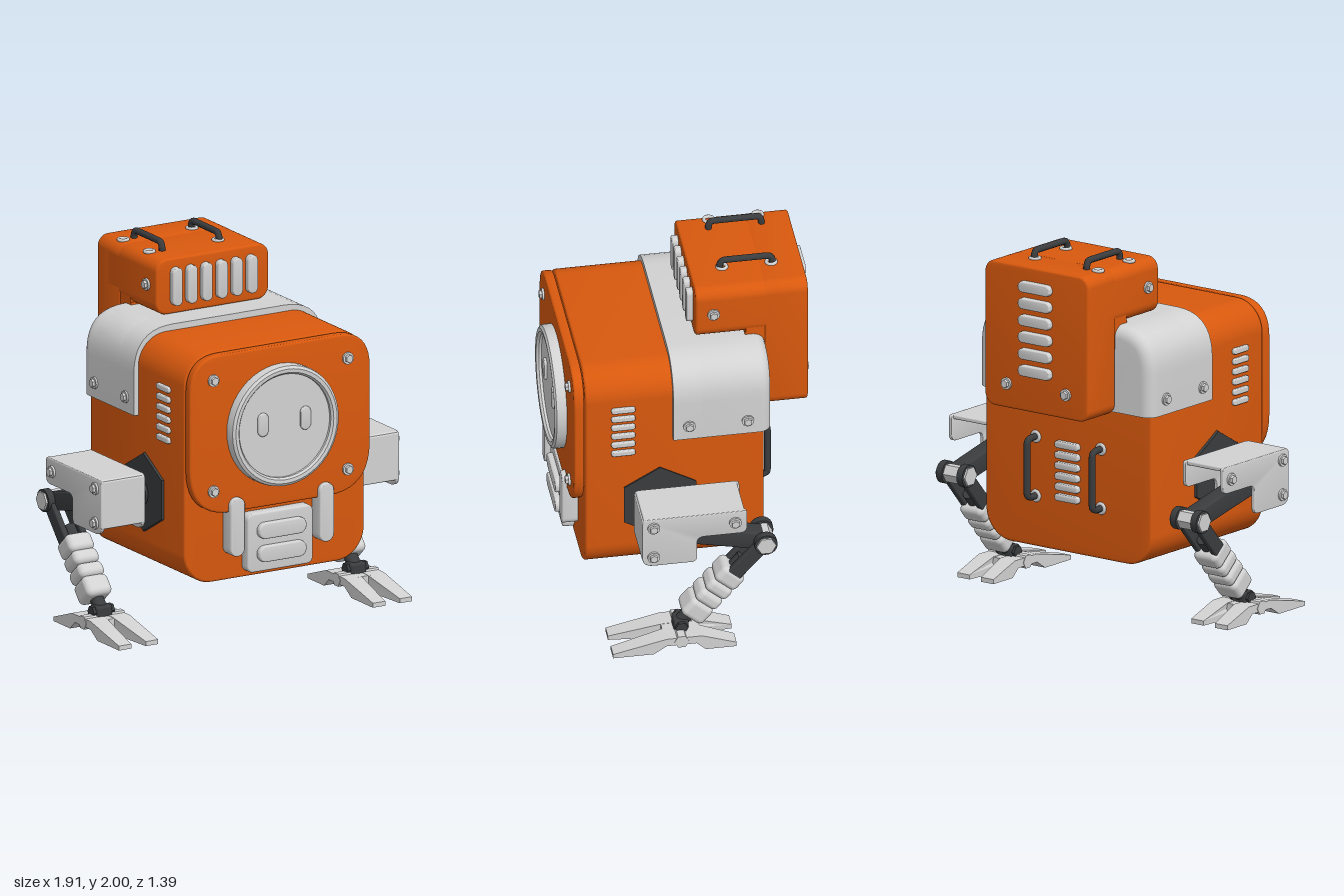
import * as THREE from 'three';
import { toCreasedNormals } from 'three/addons/utils/BufferGeometryUtils.js';
import { RoundedBoxGeometry } from 'three/addons/geometries/RoundedBoxGeometry.js';

const mat = (name, color) => new THREE.MeshStandardMaterial({ name, color });

// rounded rectangle centred on the origin
function rect(w, h, r) {
  const s = new THREE.Shape(), a = w / 2 - r, b = h / 2 - r, q = Math.PI / 2;
  s.absarc(a, b, r, 0, q);
  s.absarc(-a, b, r, q, 2 * q);
  s.absarc(-a, -b, r, 2 * q, 3 * q);
  s.absarc(a, -b, r, 3 * q, 4 * q);
  s.closePath();
  return s;
}

// polygon of [x, y, cornerRadius]
function poly(pts) {
  const s = new THREE.Shape(), n = pts.length;
  pts.forEach(([x, y, r = 0], i) => {
    const toward = (p) => {
      const l = Math.hypot(p[0] - x, p[1] - y);
      return [x + (p[0] - x) * r / l, y + (p[1] - y) * r / l];
    };
    const a = toward(pts[(i + n - 1) % n]), b = toward(pts[(i + 1) % n]);
    if (i) s.lineTo(...a); else s.moveTo(...a);
    if (r) s.quadraticCurveTo(x, y, ...b);
  });
  s.closePath();
  return s;
}

// extrusion from z = 0 to z = depth, bevel kept inside the outline
function extrude(shape, depth, bevel = 0, segs = 3) {
  const g = new THREE.ExtrudeGeometry(shape, {
    depth: depth - 2 * bevel, bevelEnabled: bevel > 0, bevelSize: bevel, bevelThickness: bevel,
    bevelOffset: -bevel, bevelSegments: segs, curveSegments: 10,
  });
  return toCreasedNormals(g.translate(0, 0, bevel), 0.6);
}

// side profile in (z, y) extruded across x, centred
const across = (shape, width, bevel = 0) =>
  extrude(shape, width, bevel).translate(0, 0, -width / 2).rotateY(-Math.PI / 2);

export function createModel() {
  const orange = mat('orange paint', 0xd9590e);
  const grey = mat('light grey metal', 0xd2d2d2);
  const dark = mat('dark rubber', 0x3a3c3e);
  const model = new THREE.Group();
  const robot = new THREE.Group();
  robot.name = 'robot';
  robot.position.x = -0.013;
  model.add(robot);

  const add = (name, geo, material, pos = [0, 0, 0], turn = 0, parent = robot) => {
    const m = new THREE.Mesh(geo, material);
    m.name = name;
    m.position.set(...pos);
    m.rotation.y = turn;
    parent.add(m);
    return m;
  };
  const SIDE = Math.PI / 2, BACK = Math.PI;

  // shared hardware, facing +z
  const pill = (w, h, d) => extrude(rect(w, h, Math.min(w, h) / 2 - 0.001), d, 0.008);
  const hexWasher = new THREE.CylinderGeometry(0.033, 0.033, 0.012, 16).rotateX(SIDE).translate(0, 0, 0.006);
  const hexHead = toCreasedNormals(new THREE.CylinderGeometry(0.022, 0.025, 0.026, 6), 0.5).rotateX(SIDE).translate(0, 0, 0.013);
  const bolt = (pos, turn = 0, parent = robot) => {
    add('boltWasher', hexWasher, grey, pos, turn, parent);
    add('boltHead', hexHead, grey, pos, turn, parent);
  };

  // body and front plate
  add('body', extrude(rect(1.12, 1.27, 0.17), 0.96, 0.012), orange, [0, 0.957, -0.39]);
  add('frontPlate', extrude(poly([[-0.56, 1.59, 0.2], [0.56, 1.59, 0.2], [0.56, 0.71, 0.26], [-0.56, 0.71, 0.26]]), 0.055, 0.01),
    orange, [0, 0, 0.575]);
  for (const x of [-0.418, 0.418]) for (const y of [0.842, 1.455]) bolt([x, y, 0.63], 0);

  // round face with rim and eyes
  const rim = [[0.285, 0], [0.285, 0.05], [0.295, 0.063], [0.315, 0.065], [0.33, 0.055], [0.333, 0.04], [0.333, 0]];
  add('faceRim', toCreasedNormals(new THREE.LatheGeometry(rim.map((p) => new THREE.Vector2(...p)).reverse(), 48), 0.6)
    .rotateX(SIDE), grey, [0, 1.155, 0.629]).material.side = THREE.DoubleSide;
  add('faceDisc', new THREE.CylinderGeometry(0.3, 0.3, 0.04, 48).rotateX(SIDE), grey, [0, 1.155, 0.645]);
  for (const s of [-1, 1]) add('eye', pill(0.062, 0.13, 0.02), grey, [s * 0.132, 1.177, 0.66]);

  // chest panel and bars
  add('chestPanel', extrude(rect(0.407, 0.325, 0.035), 0.07, 0.01), grey, [0, 0.518, 0.562]);
  for (const y of [0.455, 0.583]) add('chestSlat', pill(0.295, 0.088, 0.04), grey, [0, y, 0.622]);
  for (const s of [-1, 1]) add('chestBar', pill(0.09, 0.325, 0.09), grey, [s * 0.277, 0.628, 0.565]);

  // shoulder saddle, rounded over at the back only
  const arch = poly([[-0.587, 1.155], [-0.587, 1.627, 0.24], [0.587, 1.627, 0.24], [0.587, 1.155]]);
  const rounded = extrude(arch, 0.44, 0.065, 6);
  const rp = rounded.attributes.position;
  for (let i = 0; i < rp.count; i++) if (rp.getY(i) < 1.23) rp.setY(i, 1.155);
  add('saddleBack', toCreasedNormals(rounded, 0.6), grey, [0, 0, -0.43]);
  add('saddle', extrude(arch, 0.46), grey, [0, 0, -0.36]);

  // side vents and saddle bolts
  for (const s of [-1, 1]) {
    for (let i = 0; i < 6; i++) add('sideVent', pill(0.13, 0.034, 0.025), grey, [s * 0.553, 1.372 - i * 0.056, 0.367], s * SIDE);
    for (const z of [0.015, -0.3]) bolt([s * 0.585, 1.24, z], s * SIDE);
  }

  // head: front box, back column and fillet between them
  add('headFront', extrude(rect(0.7, 0.305, 0.065), 0.5, 0.012), orange, [0, 1.782, -0.56]);
  add('headBack', extrude(rect(0.7, 0.795, 0.065), 0.235, 0.012), orange, [0, 1.538, -0.665]);
  add('headFillet', across(poly([[-0.33, 1.68], [-0.33, 1.63], [-0.42, 1.61, 0.02], [-0.43, 1.5], [-0.5, 1.5], [-0.5, 1.68]]), 0.69), orange);
  add('headFill', new THREE.BoxGeometry(0.69, 0.12, 0.11), orange, [0, 1.58, -0.38]);
  for (let i = 0; i < 6; i++) {
    add('headFrontVent', pill(0.06, 0.21, 0.045), grey, [(i - 2.5) * 0.0935, 1.782, -0.07]);
    add('headBackVent', pill(0.215, 0.06, 0.04), grey, [0, 1.828 - i * 0.092, -0.655], BACK);
    add('bodyBackVent', pill(0.16, 0.04, 0.035), grey, [0, 0.91 - i * 0.058, -0.38], BACK);
  }
  for (const s of [-1, 1]) {
    bolt([s * 0.35, 1.785, -0.155], s * SIDE);
    bolt([s * 0.2, 1.275, -0.665], BACK);
  }

  // grab handles; the loop stands on +z and runs along y
  const handle = (length, h) => {
    const l = length / 2, c = 0.03;
    const pts = [[-l, -0.01], [-l, h - c], [-l + 0.009, h - 0.009], [-l + c, h], [l - c, h], [l - 0.009, h - 0.009], [l, h - c], [l, -0.01]];
    return new THREE.TubeGeometry(new THREE.CatmullRomCurve3(pts.map(([y, z]) => new THREE.Vector3(0, y, z)), false, 'catmullrom', 0.2), 48, 0.018, 10);
  };
  const washer = new THREE.TorusGeometry(0.025, 0.01, 8, 20);
  for (const [x, wx] of [[-0.215, -0.287], [0.14, 0.14]]) {
    add('topHandle', handle(0.285, 0.045).rotateX(-SIDE), dark, [x, 1.935, -0.365]);
    for (const z of [-0.5, -0.235]) add('topWasher', washer.clone().rotateX(SIDE), grey, [wx, 1.938, z]);
  }
  for (const s of [-1, 1]) {
    add('backHandle', handle(0.325, 0.077), dark, [s * 0.22, 0.762, -0.39], BACK);
    for (const y of [0.6, 0.925]) add('backWasher', washer, grey, [s * 0.22, y, -0.392]);
  }

  // leg geometry
  const coverSide = across(poly([[0.325, 0.9, 0.03], [-0.24, 0.9, 0.02], [-0.24, 0.755, 0.04], [0.03, 0.755, 0.04], [0.03, 0.595, 0.03], [0.325, 0.595, 0.06]]), 0.022, 0.004);
  const thigh = across(poly([[0.2, 0.8], [0.03, 0.752], [-0.37, 0.66, 0.03], [-0.39, 0.6, 0.02], [-0.29, 0.575], [0.03, 0.645], [0.2, 0.68]]), 0.1, 0.008);
  const footProfile = poly([[0.48, 0], [0.48, 0.025], [0.19, 0.09], [0, 0.09], [-0.185, 0.025], [-0.185, 0], [-0.02, 0], [0.03, 0.045], [0.19, 0.045], [0.26, 0]]);
  // half a foot: the gap to the other half widens toward the toe tips
  const halfFoot = (s) => {
    const g = across(footProfile, 1).translate(0.5, 0, 0), p = g.attributes.position;
    for (let i = 0; i < p.count; i++) {
      const inner = 0.012 + 0.09 * Math.abs(p.getZ(i) - 0.11), t = p.getX(i), w = 0.122 - inner;
      p.setX(i, s > 0 ? inner + t * w : -0.122 + t * w);
    }
    return toCreasedNormals(g, 0.3);
  };
  const rod = (r, l, n) => toCreasedNormals(new THREE.CylinderGeometry(r, r, l, n), 0.8).rotateZ(SIDE);

  for (const s of [-1, 1]) {
    // hip plate and axle
    add('hipPlate', toCreasedNormals(new THREE.CylinderGeometry(0.215, 0.225, 0.03, 6), 0.3).rotateY(SIDE).rotateZ(SIDE),
      dark, [s * 0.558, 0.75, 0.17]);
    add('axle', rod(0.045, 0.16, 20), dark, [s * 0.62, 0.75, 0.17]);
    for (const x of [0.59, 0.618, 0.646]) add('axleRing', rod(0.068, 0.015, 20), dark, [s * x, 0.75, 0.17]);

    const leg = new THREE.Group();
    leg.name = s > 0 ? 'leftLeg' : 'rightLeg';
    leg.position.x = s * 0.79;
    robot.add(leg);
    const part = (name, geo, m, x = 0, y = 0, z = 0, parent = leg) => add(name, geo, m, [x, y, z], 0, parent);

    // hollow thigh cover
    for (const x of [-0.126, 0.126]) part('coverSide', coverSide, grey, x);
    part('coverTop', new RoundedBoxGeometry(0.268, 0.024, 0.545, 2, 0.008), grey, 0, 0.888, 0.045);
    part('coverFront', new RoundedBoxGeometry(0.268, 0.262, 0.024, 2, 0.008), grey, 0, 0.761, 0.313);
    for (const [y, z] of [[0.845, 0.265], [0.655, 0.265], [0.83, -0.175]]) bolt([s * 0.137, y, z], s * SIDE, leg);

    // thigh and knee
    part('thigh', thigh, dark);
    part('kneeBolt', rod(0.053, 0.2, 6), grey, 0, 0.62, -0.35);

    // shin, hanging from the knee toward the ankle
    const shin = new THREE.Group();
    shin.name = 'shin';
    shin.position.set(0, 0.62, -0.35);
    shin.rotation.x = -0.724;
    leg.add(shin);
    for (const x of [-0.069, 0.069]) {
      part('kneeCheek', rod(0.062, 0.04, 20), dark, x, 0, 0, shin);
      part('kneeFork', new RoundedBoxGeometry(0.035, 0.27, 0.085, 2, 0.01), dark, x * 0.8, -0.14, 0, shin);
    }
    part('shinRod', rod(0.038, 0.52, 14).rotateZ(SIDE), dark, 0, -0.43, 0, shin);
    for (const [y, l] of [[0.29, 0.105], [0.377, 0.082], [0.457, 0.082], [0.552, 0.12]])
      part('shinSleeve', new RoundedBoxGeometry(0.155, l, 0.15, 4, 0.032), grey, 0, -y, 0, shin);

    // ankle and split foot
    part('ankleFork', new RoundedBoxGeometry(0.1, 0.08, 0.08, 2, 0.015), dark, 0, 0.105, 0.1);
    part('anklePin', rod(0.035, 0.13, 6), dark, 0, 0.11, 0.1);
    part('footBolt', rod(0.04, 0.25, 6), grey, 0, 0.065, 0.11);
    part('footBridge', new THREE.BoxGeometry(0.1, 0.042, 0.2), grey, 0, 0.067, 0.1);
    for (const t of [-1, 1]) part('footHalf', halfFoot(t), grey);
  }
  return model;
}
